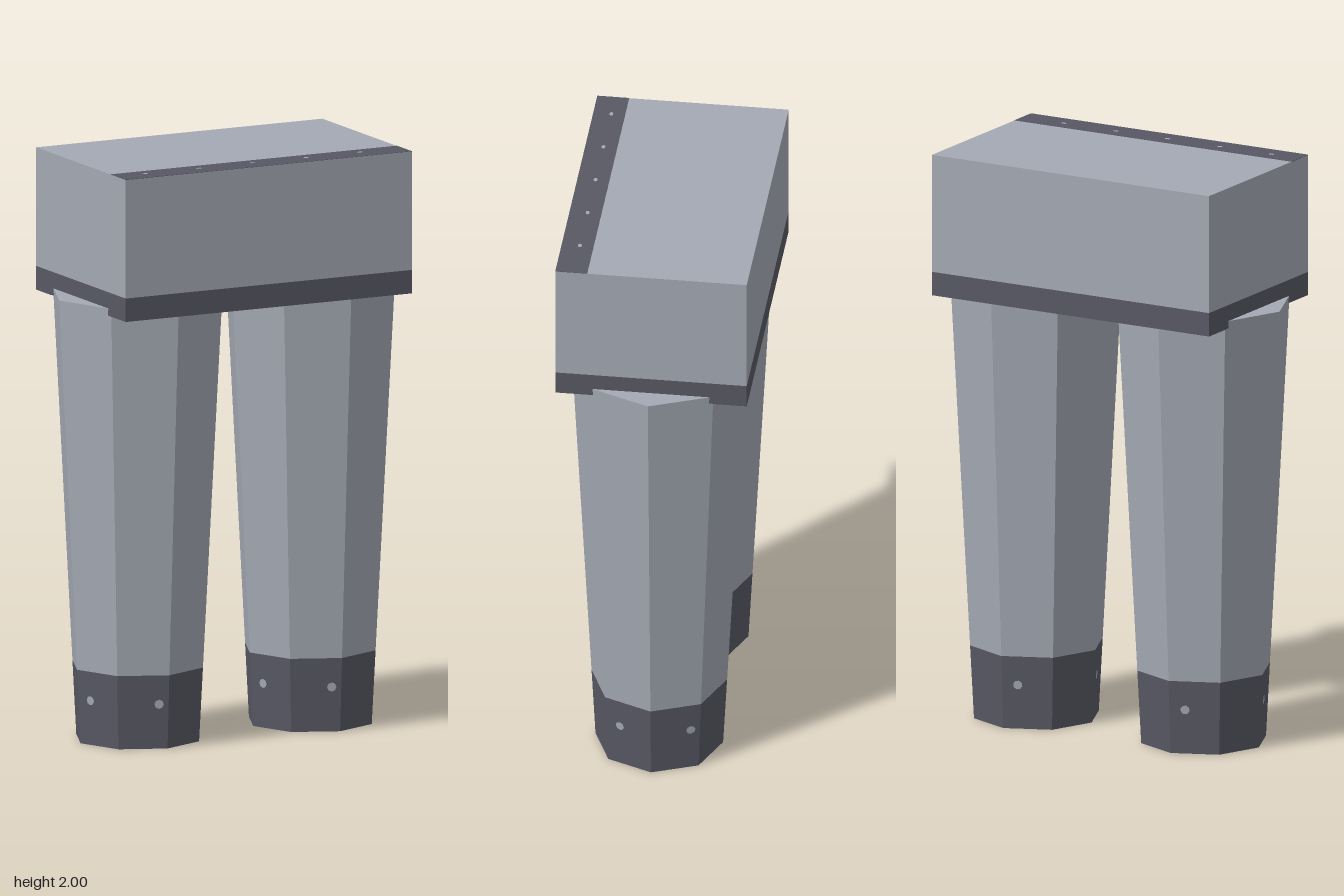
import * as THREE from 'three';

const light = new THREE.MeshStandardMaterial({ name: 'lightGrey', color: 0xa4a9b3 });
const dark = new THREE.MeshStandardMaterial({ name: 'darkSlate', color: 0x585864 });
for (const m of [light, dark]) m.flatShading = true;

const LEG_H = 1.535, BAND_Y = 0.255, R_BOTTOM = 0.218, R_TOP = 0.3;
const radiusAt = (y) => R_BOTTOM + (R_TOP - R_BOTTOM) * y / LEG_H;
const rad = THREE.MathUtils.degToRad;

function add(parent, name, geometry, material, x = 0, y = 0, z = 0) {
  const mesh = new THREE.Mesh(geometry, material);
  mesh.name = name;
  mesh.position.set(x, y, z);
  parent.add(mesh);
  return mesh;
}

// Open eight-sided section of a tapering leg
function legSection(y0, y1) {
  return new THREE.CylinderGeometry(radiusAt(y1), radiusAt(y0), y1 - y0, 8, 1, true)
    .translate(0, (y0 + y1) / 2, 0);
}

function createLeg(name, x) {
  const leg = new THREE.Group();
  leg.name = name;
  leg.position.x = x;
  add(leg, 'legShaft', legSection(BAND_Y, LEG_H), light);
  add(leg, 'footBand', legSection(0, BAND_Y), dark);
  add(leg, 'legTop', new THREE.CircleGeometry(R_TOP, 8).rotateX(-Math.PI / 2), light, 0, LEG_H, 0);
  add(leg, 'footSole', new THREE.CircleGeometry(R_BOTTOM, 8).rotateX(Math.PI / 2), light);

  // Rivets on the flat sides, one every 67.5 degrees with a wider gap at the end
  const y = 0.155, r = radiusAt(y);
  for (let i = 0; i < 5; i++) {
    const angle = -76 + 67.5 * i;
    const face = Math.floor(angle / 45);
    const t = angle / 45 - face;
    const corner = (k) => new THREE.Vector3(Math.sin(rad(k * 45)) * r, y, Math.cos(rad(k * 45)) * r);
    const mid = rad((face + 0.5) * 45);
    const normal = new THREE.Vector3(Math.sin(mid), -0.0494, Math.cos(mid)).normalize();
    const p = corner(face).lerp(corner(face + 1), t).addScaledVector(normal, 0.002);
    const rivet = add(leg, 'rivet', new THREE.CircleGeometry(0.016, 8), light, p.x, p.y, p.z);
    rivet.quaternion.setFromUnitVectors(new THREE.Vector3(0, 0, 1), normal);
  }
  return leg;
}

export function createModel() {
  const model = new THREE.Group();
  model.name = 'legsAndHips';

  // Hip block with a dark band around its lower edge
  const W = 1.094, D = 0.654, Y0 = 1.51, Y1 = 1.591, STRIP = 0.109;
  const hips = new THREE.Group();
  hips.name = 'hips';
  model.add(hips);
  add(hips, 'hipBlock', new THREE.BoxGeometry(W, 2 - Y1, D), light, 0, (Y1 + 2) / 2, 0);
  add(hips, 'hipBand', new THREE.BoxGeometry(W, Y1 - Y0, D),
    [dark, dark, dark, light, dark, dark], 0, (Y0 + Y1) / 2, 0);

  // Dark strips along the front of the top and the back of the underside
  const zStrip = (D - STRIP) / 2;
  add(hips, 'topStrip', new THREE.BoxGeometry(W, 0.002, STRIP), dark, 0, 2, zStrip);
  add(hips, 'undersideStrip', new THREE.BoxGeometry(W, 0.002, STRIP), dark, 0, Y0, -zStrip);
  for (let i = 0; i < 5; i++) {
    const rivet = new THREE.CircleGeometry(1, 8).rotateX(-Math.PI / 2).scale(0.011, 1, 0.007);
    add(hips, 'topRivet', rivet, light, -0.44 + 0.205 * i, 2.002, 0.265);
  }

  model.add(createLeg('rightLeg', -0.33), createLeg('leftLeg', 0.33));
  return model;
}
